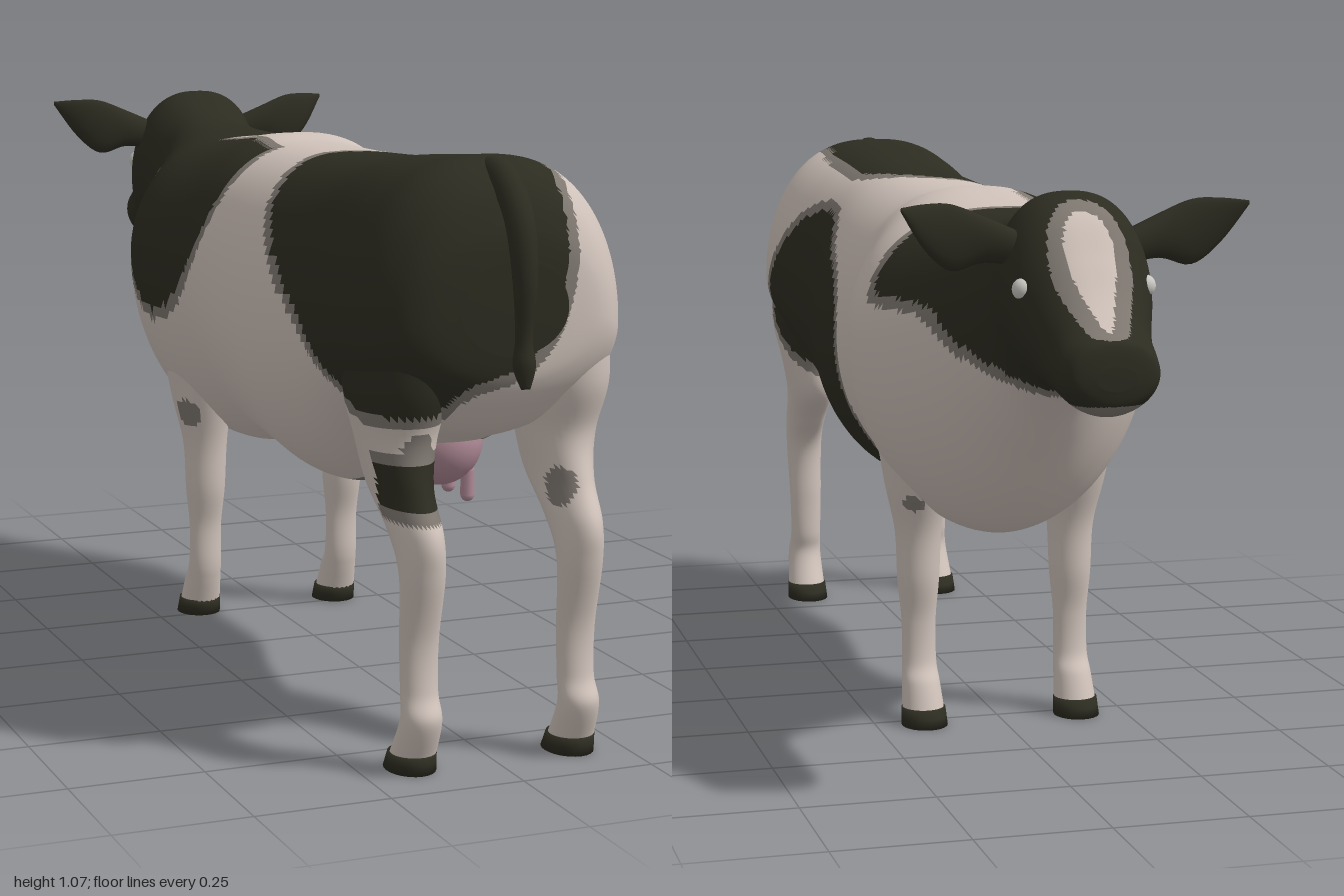
import * as THREE from 'three';

const mat = (name, color) => Object.assign(new THREE.MeshStandardMaterial({ color }), { name });
const mats = [
  mat('white coat', 0xcfc2ba), mat('dark coat', 0x2d2c21),
  mat('grey patch edge', 0x7f7871), mat('udder pink', 0xb08a96), mat('eye pale', 0xc9c8c2),
];
const [WHITE, DARK, GREY, PINK, EYE] = [0, 1, 2, 3, 4];

// Smooth interpolation through rows of numbers, t in 0..1
function sample(rows, t) {
  const f = t * (rows.length - 1), i = Math.min(Math.floor(f), rows.length - 2), u = f - i;
  const at = k => rows[Math.max(0, Math.min(rows.length - 1, k))];
  return rows[i].map((b, k) => {
    const a = at(i - 1)[k], c = at(i + 1)[k], d = at(i + 2)[k];
    return b + 0.5 * u * (c - a + u * (2 * a - 5 * b + 4 * c - d + u * (3 * (b - c) + d - a)));
  });
}

// Closed skin through rings; point(row, angle) gives a ring's corner
function loft(rows, rings, sides, point) {
  const pos = [], idx = [];
  for (let i = 0; i <= rings; i++) {
    const row = sample(rows, i / rings);
    for (let j = 0; j < sides; j++) pos.push(...point(row, j / sides * Math.PI * 2));
  }
  const id = (i, j) => i * sides + j % sides;
  for (let i = 0; i < rings; i++) for (let j = 0; j < sides; j++)
    idx.push(id(i, j), id(i, j + 1), id(i + 1, j), id(i, j + 1), id(i + 1, j + 1), id(i + 1, j));
  for (const i of [0, rings]) {
    const c = [0, 0, 0], n = pos.length / 3 + 0;
    for (let j = 0; j < sides; j++) for (let k = 0; k < 3; k++) c[k] += pos[id(i, j) * 3 + k] / sides;
    pos.push(...c);
    for (let j = 0; j < sides; j++)
      i ? idx.push(id(i, j), id(i, j + 1), n) : idx.push(id(i, j + 1), id(i, j), n);
  }
  const g = new THREE.BufferGeometry();
  g.setAttribute('position', new THREE.Float32BufferAttribute(pos, 3));
  g.setIndex(idx);
  g.computeVertexNormals();
  return g;
}

// Signed distance to a rounded polygon (negative inside)
function region(pts) {
  for (let r = 0; r < 2; r++) pts = pts.flatMap((p, i) => {
    const q = pts[(i + 1) % pts.length];
    return [0.25, 0.75].map(t => [p[0] + (q[0] - p[0]) * t, p[1] + (q[1] - p[1]) * t]);
  });
  return (u, v) => {
    let best = 1e9, inside = false;
    pts.forEach(([ax, ay], i) => {
      const [bx, by] = pts[(i + 1) % pts.length], dx = bx - ax, dy = by - ay;
      const t = Math.max(0, Math.min(1, ((u - ax) * dx + (v - ay) * dy) / (dx * dx + dy * dy)));
      best = Math.min(best, Math.hypot(u - ax - dx * t, v - ay - dy * t));
      if ((ay > v) !== (by > v) && u < ax + (v - ay) / dy * dx) inside = !inside;
    });
    return inside ? -best : best;
  };
}

// Coat patches, outlined in (z, y) from the side, (x, z) from above or (x, y) from behind
const flank = region([[.79, .7], [.75, .77], [.69, .84], [.6, .92], [.46, .95], [.35, .92], [.25, .87], [.13, .83],
  [.075, .76], [.085, .64], [.06, .53], [.08, .42], [.15, .3], [.45, .3], [.62, .52], [.72, .6]]);
const neckPts = notch => [[-.31, 1.3], [-.31, .86], [-.38, notch], [-.475, notch], [-.53, .79], [-.61, .75],
  [-.7, .72], [-.75, .6], [-1.3, .5], [-1.3, 1.3]];
const neckLeft = region(neckPts(.855)), neckRight = region(neckPts(.94));
const shoulder = region([[-.02, 1.2], [.01, .92], [-.05, .79], [-.17, .66], [-.27, .69], [-.36, .84], [-.41, .93], [-.42, 1.2]]);
const rumpSide = region([[.15, 1.3], [.2, 1.04], [.27, .93], [.4, .81], [.55, .74], [.7, .67], [.85, .63], [1.2, .62], [1.2, 1.3]]);
const rumpTop = region([[-.6, .1], [-.19, .22], [-.09, .2], [.03, .26], [.1, .45], [.115, .61], [.1, .93], [.1, 1.3], [-.6, 1.3]]);
const rumpBack = region([[-.6, .62], [-.22, .63], [-.12, .62], [-.09, .69], [0, .71], [.05, .75], [.09, .83], [.12, 1.04], [.12, 1.4], [-.6, 1.4]]);
const blaze = region([[0, -.755], [.055, -.78], [.08, -.84], [.05, -.92], [.025, -.985], [-.025, -.985], [-.05, -.92], [-.08, -.84], [-.055, -.78]]);
const greySpots = [[.2, .45, -.15, .035], [.17, .45, -.27, .03], [.12, .49, .88, .035], [-.2, .45, -.2, .03], [-.15, .575, .87, .03]];

function coat(x, y, z) {
  if (z < -.75 && y > .8) {
    const b = blaze(x, z);
    if (b < 0) return b < -.028 ? WHITE : GREY;
  }
  if (z < -.86 && y < .733) return GREY;
  const d = Math.min(
    Math.max(flank(z, y), -.02 - x),
    x > 0 ? neckLeft(z, y) : neckRight(z, y),
    Math.max(shoulder(z, y), x + .09),
    Math.max(rumpSide(z, y), rumpTop(x, z), rumpBack(x, y)),
    x < -.1 && z > .82 ? Math.abs(y - .51) - .037 : 1,
  );
  if (d < 0) return DARK;
  if (d < .022 || greySpots.some(([a, b, c, r]) => Math.hypot(x - a, y - b, z - c) < r)) return GREY;
  return WHITE;
}

// Sorts a skin's triangles into one group per coat colour
function paint(g) {
  const p = g.attributes.position, old = g.index.array, buckets = mats.map(() => []);
  for (let i = 0; i < old.length; i += 3) {
    const t = [old[i], old[i + 1], old[i + 2]];
    const mid = f => t.reduce((s, k) => s + p[f](k), 0) / 3;
    buckets[coat(mid('getX'), mid('getY'), mid('getZ'))].push(...t);
  }
  g.setIndex(buckets.flat());
  let start = 0;
  buckets.forEach((b, m) => { if (b.length) g.addGroup(start, b.length, m); start += b.length; });
  return g;
}

// Trunk, neck and head: z, top, bottom, half width, height of widest point
const BODY = [
  [-1, .8, .76, .035, .78], [-.99, .84, .73, .075, .785], [-.955, .855, .71, .09, .785], [-.9, .905, .715, .097, .8],
  [-.85, .97, .72, .11, .84], [-.79, 1.045, .725, .13, .89], [-.71, 1.075, .725, .135, .91], [-.62, 1.035, .66, .125, .87],
  [-.53, 1.015, .57, .165, .83], [-.42, 1.01, .455, .235, .79], [-.32, 1.01, .385, .285, .77], [-.22, 1.02, .375, .29, .77],
  [-.09, 1.035, .4, .255, .75], [0, 1.025, .41, .252, .73], [.15, 1.025, .4, .255, .71], [.29, 1.03, .39, .25, .7],
  [.46, 1.04, .44, .232, .72], [.6, 1.055, .5, .243, .74], [.72, 1.065, .55, .255, .76], [.83, 1.072, .585, .25, .77],
  [.9, 1.03, .64, .215, .78], [.935, .96, .69, .17, .8], [.945, .9, .74, .1, .82],
];
const bodyPoint = ([z, top, bot, w, yc], a) => {
  const c = Math.cos(a), s = Math.sin(a);
  return [w * Math.sign(c) * Math.abs(c) ** (s > 0 ? .8 : 1.05), yc + s * (s > 0 ? top - yc : yc - bot), z];
};

// Legs: y, centre z, half depth, centre x, half width
const HIND = [[.82, .78, .13, .15, .08], [.68, .785, .125, .155, .088], [.58, .785, .095, .155, .068], [.5, .805, .1, .155, .05],
  [.43, .87, .078, .153, .043], [.36, .9, .045, .152, .04], [.24, .888, .028, .152, .036], [.15, .89, .03, .152, .034],
  [.1, .902, .038, .153, .037], [.03, .87, .043, .155, .041]];
const FORE = [[.65, -.24, .12, .17, .08], [.48, -.235, .075, .16, .062], [.38, -.23, .047, .155, .046], [.28, -.23, .04, .155, .041],
  [.2, -.232, .026, .155, .034], [.12, -.235, .029, .155, .034], [.08, -.25, .038, .155, .037], [.03, -.268, .042, .155, .041]];
const HOOVES = [[[.034, .868, .047, .155, .043], [0, .857, .058, .155, .045]], [[.034, -.27, .045, .155, .043], [0, -.28, .05, .155, .045]]];

export function createModel() {
  const root = new THREE.Group();
  root.name = 'cow';
  const add = (name, geometry, material, parent = root) => {
    const m = new THREE.Mesh(geometry, material);
    m.name = name;
    parent.add(m);
    return m;
  };

  add('bodyAndHead', paint(loft(BODY, 220, 110, bodyPoint)), mats);

  for (const side of [1, -1]) {
    const tag = side > 0 ? 'Left' : 'Right';
    const legPoint = ([y, zc, rz, xc, rx], a) => [side * xc + rx * Math.cos(a), y, zc + rz * Math.sin(a)];
    [HIND, FORE].forEach((rows, i) => {
      const name = (i ? 'foreLeg' : 'hindLeg') + tag;
      add(name, paint(loft(rows, 72, 40, legPoint)), mats);
      add(name + 'Hoof', loft(HOOVES[i], 2, 24, legPoint), mats[DARK]);
    });

    // Leaf-shaped ear: x, y, z, half height, half thickness
    const ear = [[.09, .975, -.75, .03, .025], [.16, .995, -.74, .04, .022], [.22, 1.0, -.74, .058, .018],
      [.27, 1.02, -.75, .04, .013], [.316, 1.052, -.77, .004, .004]];
    add('ear' + tag, loft(ear, 20, 20, ([x, y, z, h, t], a) =>
      [side * x, y + h * Math.cos(a), z + side * t * Math.sin(a)]), mats[DARK]);

    add('eye' + tag, new THREE.SphereGeometry(.02, 16, 12), mats[EYE]).position.set(side * .11, .915, -.81);
  }

  // Tail hanging from the rump with a small tuft: y, z, radius
  const tail = [[1.05, .8, .02], [1.045, .88, .026], [.98, .95, .026], [.88, .977, .022], [.78, .975, .015], [.73, .978, .02], [.69, .985, .008]];
  add('tail', loft(tail.map((r, i) => {
    const a = tail[Math.max(0, i - 1)], b = tail[Math.min(tail.length - 1, i + 1)];
    return [...r, Math.atan2(b[1] - a[1], b[0] - a[0])];
  }).map(r => [r[0], r[1], r[2], r[3]]), 36, 16, ([y, z, r, dir], a) => {
    const s = r * Math.sin(a);
    return [r * Math.cos(a), y + s * Math.sin(dir), z - s * Math.cos(dir)];
  }), mats[DARK]);

  // Udder with four teats
  const udder = new THREE.Group();
  udder.name = 'udder';
  root.add(udder);
  const bag = add('udderBag', new THREE.SphereGeometry(1, 28, 20), mats[PINK], udder);
  bag.scale.set(.083, .085, .095);
  bag.position.set(0, .535, .615);
  for (const x of [-.045, .045]) for (const z of [.57, .655])
    add('teat', new THREE.CapsuleGeometry(.013, .045, 4, 12), mats[PINK], udder).position.set(x, .457, z);

  return root;
}
